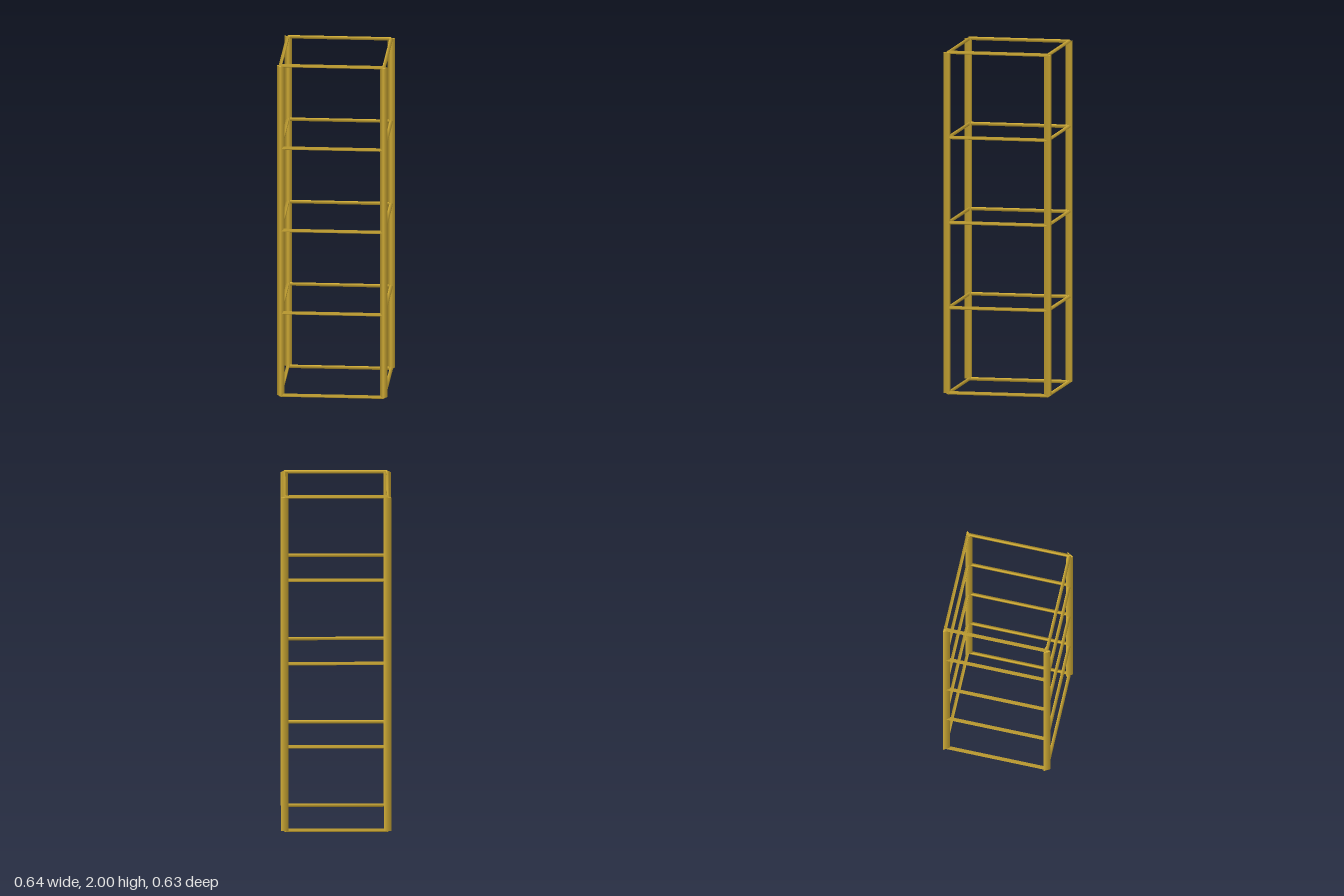
import * as THREE from 'three';

// Tall open frame: four three-sided posts joined by five square rings of thin rails.
export function createModel() {
  const gold = new THREE.MeshStandardMaterial({ color: 0xd4af37 });
  gold.name = 'gold';

  const half = 0.297;         // post centre from the frame axis
  const bottom = 0.0103;      // height of the lowest ring
  const height = 1.9794;      // post length
  const levels = 5;
  const postRadius = 0.0247;
  const railRadius = 0.0119;

  const model = new THREE.Group();
  model.name = 'openFrame';
  const frame = new THREE.Group();
  frame.name = 'frame';
  frame.position.z = -postRadius / 4; // all posts point forward, so shift to centre
  model.add(frame);

  // Posts, each with one edge facing the front
  const postGeometry = new THREE.CylinderGeometry(postRadius, postRadius, height, 3);
  for (const x of [-half, half]) {
    for (const z of [-half, half]) {
      const post = new THREE.Mesh(postGeometry, gold);
      post.name = (z > 0 ? 'front' : 'back') + (x > 0 ? 'Left' : 'Right') + 'Post';
      post.position.set(x, bottom + height / 2, z);
      frame.add(post);
    }
  }

  // Rails, each with one edge facing outward
  const railGeometry = new THREE.CylinderGeometry(railRadius, railRadius, half * 2, 3);
  railGeometry.rotateZ(Math.PI / 2).translate(0, 0, half);
  const sides = ['front', 'left', 'back', 'right'];
  for (let i = 0; i < levels; i++) {
    const ring = new THREE.Group();
    ring.name = 'railRing' + (i + 1);
    ring.position.y = bottom + (height * i) / (levels - 1);
    sides.forEach((side, k) => {
      const rail = new THREE.Mesh(railGeometry, gold);
      rail.name = side + 'Rail';
      rail.rotation.y = (k * Math.PI) / 2;
      ring.add(rail);
    });
    frame.add(ring);
  }

  return model;
}
